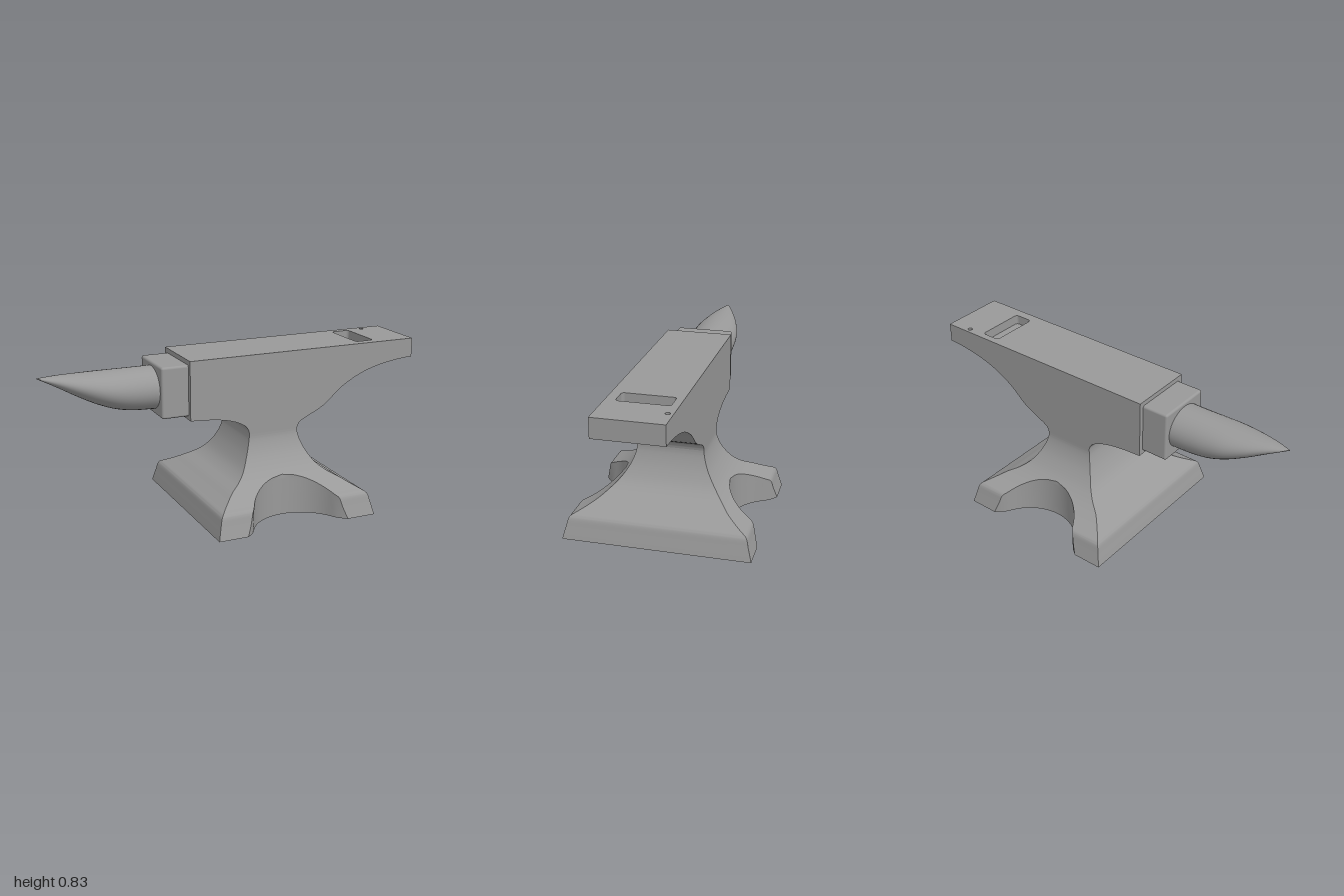
import * as THREE from 'three';
import { toCreasedNormals, mergeVertices } from 'three/addons/utils/BufferGeometryUtils.js';
import { RoundedBoxGeometry } from 'three/addons/geometries/RoundedBoxGeometry.js';

const V2 = (x, y) => new THREE.Vector2(x, y);
const HALF = 0.172; // half width of the body
const DECK = 0.785; // floor height of the holes in the face

// Skin a list of equal-length closed rings
function loft(rings) {
  const n = rings[0].length, index = [];
  for (let j = 0; j < rings.length - 1; j++) {
    for (let i = 0; i < n; i++) {
      const a = j * n + i, b = j * n + (i + 1) % n;
      index.push(a, b, b + n, a, b + n, a + n);
    }
  }
  const geo = new THREE.BufferGeometry().setFromPoints(rings.flat());
  geo.setIndex(index);
  return geo;
}

// Half width of the vertical scoop in the foot at depth z, flared at its mouth
const SCOOP = 0.28;
function scoopHalf(z) {
  const round = Math.sqrt(Math.max(0, 0.25 ** 2 - (0.53 - z) ** 2));
  return round + 0.035 * (Math.max(0, z - 0.42) / 0.055) ** 2;
}

// Rectangular section of half size hx by hz with the scoop cut from front and back
function footRing(hx, y, hz) {
  const side = [[-hx, hz]], N = 14;
  for (let i = -N; i <= N; i++) {
    const s = i / N;
    const z = hz > SCOOP ? SCOOP + (hz - SCOOP) * s * s : hz;
    side.push([hz > SCOOP ? Math.sign(s) * scoopHalf(z) : 0, z]);
  }
  side.push([hx, hz]);
  const back = side.map(([x, z]) => [x, -z]).reverse();
  return [...side, ...back].map(([x, z]) => new THREE.Vector3(x, y, z));
}

export function createModel() {
  const steel = new THREE.MeshStandardMaterial({ color: 0x999999 });
  const model = new THREE.Group();
  model.name = 'anvil';
  const add = (name, geo, x = 0, y = 0, z = 0) => {
    const mesh = new THREE.Mesh(geo, steel);
    mesh.name = name;
    mesh.position.set(x, y, z);
    model.add(mesh);
  };

  // Foot: half width, height, half depth from the ground to the waist
  const profile = new THREE.CatmullRomCurve3([
    [0.437, 0, 0.477], [0.43, 0.03, 0.469], [0.42, 0.07, 0.458], [0.411, 0.105, 0.449],
    [0.403, 0.117, 0.441], [0.38, 0.132, 0.412], [0.345, 0.153, 0.372], [0.303, 0.18, 0.328],
    [0.25, 0.21, 0.288], [0.205, 0.25, 0.247], [0.168, 0.31, 0.205], [0.148, 0.36, 0.183],
    [0.138, 0.4, 0.173], [0.137, 0.42, HALF],
  ].map((p) => new THREE.Vector3(...p)));
  const rings = profile.getPoints(52).map((p) => footRing(p.x, p.y, p.z));
  add('foot', toCreasedNormals(loft(rings), 0.5), 0.178);

  const sole = new THREE.ShapeGeometry(new THREE.Shape(rings[0].map((p) => V2(p.x, p.z))));
  add('sole', sole.rotateX(Math.PI / 2), 0.178);

  // Body: side outline from the waist up to the deck
  const side = new THREE.Shape();
  side.moveTo(0.041, 0.42);
  side.splineThru([V2(0.038, 0.44), V2(0.018, 0.467), V2(-0.03, 0.493), V2(-0.1, 0.513),
    V2(-0.19, 0.525), V2(-0.28, 0.53)]);
  side.lineTo(-0.28, DECK);
  side.lineTo(1, DECK);
  side.lineTo(1, 0.735);
  side.splineThru([V2(0.9, 0.726), V2(0.78, 0.704), V2(0.675, 0.668), V2(0.57, 0.609),
    V2(0.47, 0.525), V2(0.39, 0.487 - 0.04), V2(0.315, 0.42)].slice(0, 5)
    .concat([V2(0.4, 0.517 - 0.058 + 0.01), V2(0.345, 0.462), V2(0.322, 0.44), V2(0.315, 0.42)].slice(1)));
  const body = new THREE.ExtrudeGeometry(side, { depth: 2 * HALF, bevelEnabled: false, curveSegments: 5 });
  add('body', toCreasedNormals(body, 0.5), 0, 0, -HALF);

  // Face plate with a square tool hole and a small round punch hole
  const face = new THREE.Shape([V2(-0.28, -HALF), V2(1, -HALF), V2(1, HALF), V2(-0.28, HALF)]);
  const [x0, x1, y0, y1, r] = [0.683, 0.785, -0.123, 0.135, 0.015];
  const slot = new THREE.Path();
  slot.absarc(x1 - r, y1 - r, r, 0, Math.PI / 2);
  slot.absarc(x0 + r, y1 - r, r, Math.PI / 2, Math.PI);
  slot.absarc(x0 + r, y0 + r, r, Math.PI, Math.PI * 1.5);
  slot.absarc(x1 - r, y0 + r, r, Math.PI * 1.5, Math.PI * 2);
  const punch = new THREE.Path().absarc(0.875, 0.145, 0.012, 0, Math.PI * 2);
  face.holes.push(slot, punch);
  const plate = new THREE.ExtrudeGeometry(face, { depth: 0.835 - DECK, bevelEnabled: false, curveSegments: 6 });
  add('facePlate', plate.rotateX(-Math.PI / 2), 0, DECK);

  // Step block between body and horn
  add('step', new RoundedBoxGeometry(0.17, 0.262, 0.296, 3, 0.012), -0.335, 0.68, 0);

  // Horn: x, top, bottom, half width towards the tip
  const sections = new THREE.CatmullRomCurve3([
    [-0.42, 0.572, 0.125], [-0.52, 0.577, 0.125], [-0.61, 0.592, 0.125], [-0.7, 0.624, 0.118],
    [-0.8, 0.674, 0.092], [-0.9, 0.731, 0.052], [-0.965, 0.766, 0.021], [-1, 0.784, 0.001],
  ].map((p) => new THREE.Vector3(...p)));
  const hornRings = sections.getPoints(35).map((p) => {
    const top = 0.79 - 0.004 * Math.max(0, (-p.x - 0.9) / 0.1);
    const mid = (top + p.y) / 2, h = (top - p.y) / 2;
    return Array.from({ length: 36 }, (_, i) => {
      const t = (i / 36) * Math.PI * 2;
      return new THREE.Vector3(p.x, mid + h * Math.cos(t), -p.z * Math.sin(t));
    });
  });
  const horn = mergeVertices(loft(hornRings));
  horn.computeVertexNormals();
  add('horn', horn);

  return model;
}
